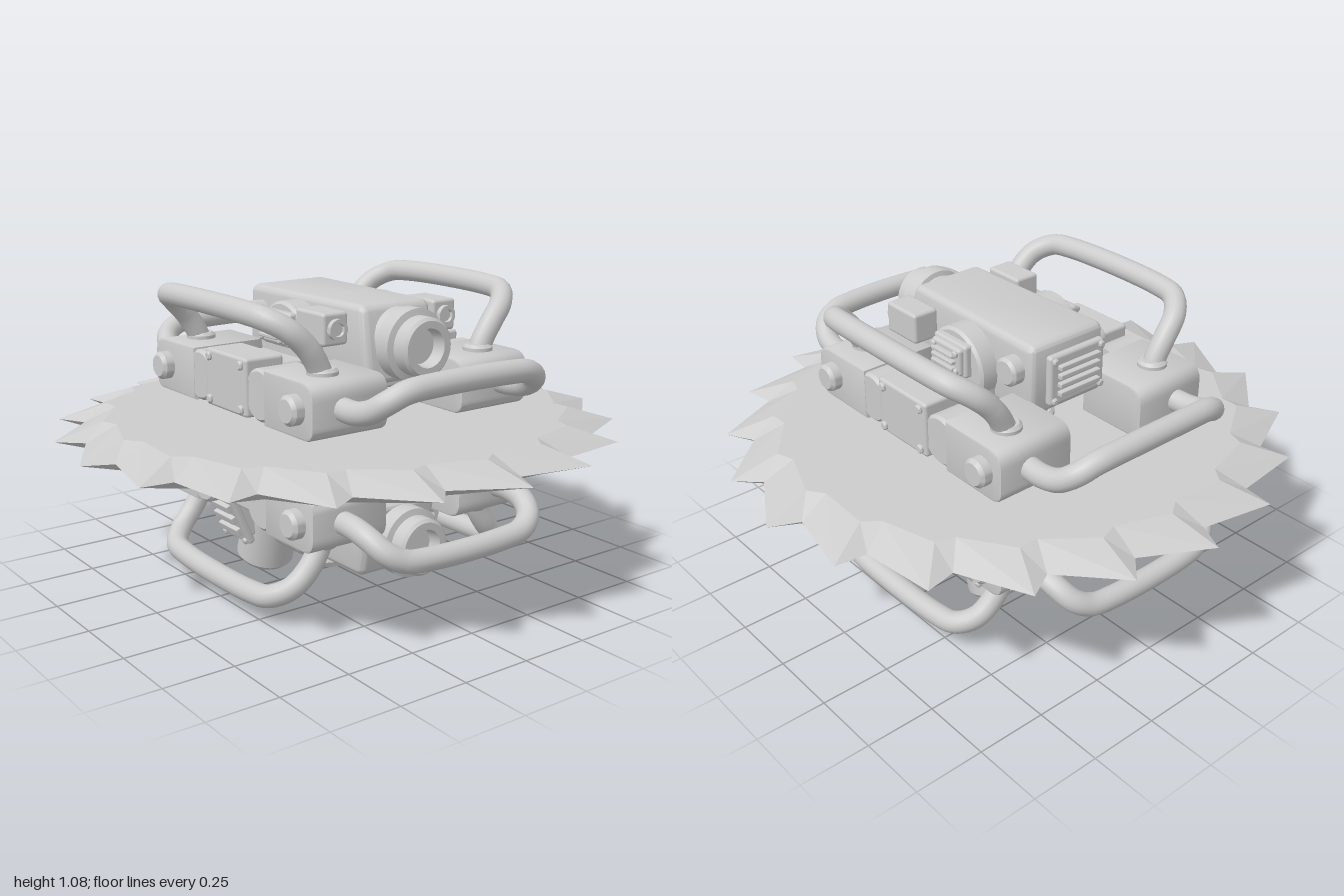
import * as THREE from 'three';
import { toCreasedNormals } from 'three/addons/utils/BufferGeometryUtils.js';
import { RoundedBoxGeometry } from 'three/addons/geometries/RoundedBoxGeometry.js';

const material = new THREE.MeshStandardMaterial({ color: 0xcccccc });
const X = [1, 0, 0], Y = [0, 1, 0];
const MID = 0.57; // height of the blade plane

function add(parent, name, geometry, pos = [0, 0, 0]) {
  const mesh = new THREE.Mesh(geometry, material);
  mesh.name = name;
  mesh.position.set(...pos);
  parent.add(mesh);
  return mesh;
}

// Rounded box given by its centre and size
const box = (parent, name, pos, size, r = 0.012) =>
  add(parent, name, new RoundedBoxGeometry(...size, 2, r), pos);

// Turned part: [radius, height] profile, its height running along dir from pos
function turned(parent, name, profile, pos, dir = Y) {
  const geo = new THREE.LatheGeometry(profile.map(p => new THREE.Vector2(...p)), 32);
  const mesh = add(parent, name, toCreasedNormals(geo, 0.6), pos);
  mesh.quaternion.setFromUnitVectors(new THREE.Vector3(0, 1, 0), new THREE.Vector3(...dir).normalize());
  return mesh;
}

// Solid disc with a small edge bevel
const disc = (parent, name, r, h, pos, dir, b = 0.01) =>
  turned(parent, name, [[0, 0], [r, 0], [r, h - b], [r - b, h], [0, h]], pos, dir);

function tube(parent, name, points) {
  const curve = new THREE.CatmullRomCurve3(points.map(p => new THREE.Vector3(...p)), false, 'centripetal');
  return add(parent, name, new THREE.TubeGeometry(curve, 80, 0.039, 16));
}

// Twenty swept teeth with knife edges, bevelled onto two flat faces
function bladeGeometry() {
  const teeth = 20, n = teeth * 2, h = 0.052, pos = [], index = [];
  const ring = (tip, gullet, y) => {
    for (let i = 0; i < n; i++) {
      const [r, offset] = i % 2 ? gullet : tip;
      const a = THREE.MathUtils.degToRad(Math.floor(i / 2) * 18 + offset);
      pos.push(r * Math.cos(a), y, r * Math.sin(a));
    }
  };
  ring([0.83, 2], [0.79, 16], h);
  ring([1, 0], [0.9, 15], 0);
  ring([0.83, 2], [0.79, 16], -h);
  pos.push(0, h, 0, 0, -h, 0);
  for (let i = 0; i < n; i++) {
    const j = (i + 1) % n;
    index.push(3 * n, j, i, 3 * n + 1, 2 * n + i, 2 * n + j);
    for (const k of [0, n]) index.push(k + i, k + j, k + n + i, k + j, k + n + j, k + n + i);
  }
  const geo = new THREE.BufferGeometry();
  geo.setAttribute('position', new THREE.Float32BufferAttribute(pos, 3));
  geo.setIndex(index);
  const flat = geo.toNonIndexed();
  flat.computeVertexNormals();
  return flat;
}

// Corner block, rounded at its outer upper edge, for the +x side
function cornerBlockGeometry(sx) {
  const s = new THREE.Shape();
  s.moveTo(0.23, 0.67);
  s.lineTo(0.45, 0.67);
  s.quadraticCurveTo(0.49, 0.67, 0.49, 0.71);
  s.lineTo(0.49, 0.79);
  s.quadraticCurveTo(0.49, 0.84, 0.44, 0.84);
  s.lineTo(0.23, 0.84);
  s.closePath();
  const geo = new THREE.ExtrudeGeometry(s, { depth: 0.28, bevelSize: 0.008, bevelThickness: 0.008, bevelSegments: 2, curveSegments: 8 });
  geo.translate(0, 0, -0.14);
  if (sx < 0) geo.rotateY(Math.PI);
  return toCreasedNormals(geo, 0.6);
}

// Vent: framed plate with horizontal bars, facing +z in its own frame
function vent(parent, name, pos, w, h, bars, turn = [0, 0, 0]) {
  const g = new THREE.Group();
  g.name = name;
  g.position.set(...pos);
  g.rotation.set(...turn);
  parent.add(g);
  box(g, 'ventPlate', [0, 0, 0], [w, h, 0.03]);
  for (let i = 0; i < bars; i++)
    box(g, 'ventBar', [0, h * ((i + 0.5) / bars - 0.5) * 0.7, 0.02], [w * 0.74, h * 0.4 / bars, 0.026], 0.004);
  for (const x of [-1, 1]) for (const y of [-1, 1])
    disc(g, 'ventBolt', 0.012, 0.012, [x * (w / 2 - 0.018), y * (h / 2 - 0.018), 0.014], [0, 0, 1], 0.004);
}

// Frame, handles, body and nozzle shared by both halves
function buildHalf(name) {
  const g = new THREE.Group();
  g.name = name;
  disc(g, 'hubFlange', 0.17, 0.035, [0, 0.615, 0]);
  disc(g, 'hub', 0.15, 0.22, [0, 0.64, 0]);
  for (const sz of [-1, 1]) {
    for (const sx of [-1, 1]) {
      add(g, 'cornerBlock', cornerBlockGeometry(sx), [0, 0, sz * 0.305]);
      disc(g, 'cornerBolt', 0.05, 0.06, [sx * 0.41, 0.757, sz * 0.435], [0, 0, sz], 0.012);
      disc(g, 'hinge', 0.09, 0.16, [sx * 0.19, 0.757, sz * 0.29], [0, 0, sz]);
      disc(g, 'handleSocket', 0.052, 0.03, [sx * 0.38, 0.84, sz * 0.33]);
    }
    box(g, 'frameRail', [0, 0.75, sz * 0.36], [0.5, 0.14, 0.12]);
    disc(g, 'bodyBoss', 0.05, 0.05, [-0.23, 0.94, sz * 0.16], [0, 0, sz]);
    // Handle rising outward over the front or back
    const side = [[0.38, 0.8, 0.32], [0.38, 0.87, 0.345], [0.38, 0.94, 0.39], [0.365, 0.995, 0.445],
      [0.31, 1.03, 0.495], [0.22, 1.04, 0.51]];
    tube(g, 'upperHandle', [...side, ...side.map(([x, y, z]) => [-x, y, z]).reverse()]
      .map(([x, y, z]) => [x, y, z * sz]));
  }
  // Handles bowing out from the left and right ends
  for (const sx of [-1, 1]) {
    const end = [[0.46, 0.757, 0.33], [0.56, 0.757, 0.335], [0.63, 0.775, 0.33], [0.68, 0.81, 0.305],
      [0.705, 0.84, 0.25], [0.715, 0.85, 0.15]];
    tube(g, 'sideHandle', [...end, ...end.map(([x, y, z]) => [x, y, -z]).reverse()]
      .map(([x, y, z]) => [x * sx, y, z]));
  }
  box(g, 'crossBeam', [0, 0.765, 0], [0.26, 0.15, 0.64]);

  // Body, narrowed toward the top and sloped at the nozzle end
  const geo = new RoundedBoxGeometry(0.7, 0.26, 0.34, 4, 0.03);
  const p = geo.attributes.position;
  for (let i = 0; i < p.count; i++) {
    const up = (p.getY(i) + 0.13) / 0.26, x = p.getX(i);
    const nose = Math.max(0, x) / 0.35;
    p.setXYZ(i, x - up * nose * 0.05, p.getY(i), p.getZ(i) * (1 - 0.06 * up - 0.1 * nose));
  }
  geo.computeVertexNormals();
  add(g, 'body', toCreasedNormals(geo, 0.6), [0.04, 0.91, 0]);
  turned(g, 'nozzle', [[0, 0], [0.115, 0], [0.115, 0.12], [0.105, 0.14], [0.105, 0.15], [0.122, 0.155],
    [0.122, 0.215], [0.1, 0.22], [0.1, 0.27], [0.09, 0.28], [0.065, 0.28], [0.06, 0.23], [0, 0.23]],
    [0.23, 0.912, 0], X);
  vent(g, 'endVent', [-0.34, 0.92, 0], 0.24, 0.18, 4, [0, -Math.PI / 2, 0]);
  return g;
}

function upperDetails(g) {
  for (const s of [-1, 1]) {
    const turn = [0, s < 0 ? Math.PI : 0, 0];
    // Bolted plate in the middle of the front and back rails
    box(g, 'middlePlate', [0, 0.768, s * 0.385], [0.26, 0.2, 0.15]);
    for (const x of [-1, 1]) for (const y of [-1, 1])
      disc(g, 'plateBolt', 0.016, 0.014, [x * 0.1, 0.768 + y * 0.075, s * 0.457], [0, 0, s], 0.005);
    disc(g, 'sideDisc', 0.14, 0.08, [0, 0.88, s * 0.15], [0, 0, s]);
    box(g, 'ventMount', [0, 0.93, s * 0.235], [0.17, 0.12, 0.04]);
    vent(g, 'sideVent', [0, 0.93, s * 0.258], 0.15, 0.1, 3, turn);
    // Lamp looking the same way as the nozzle
    box(g, 'lampBox', [0.235, 0.97, s * 0.23], [0.16, 0.11, 0.1]);
    turned(g, 'lampLens', [[0, 0], [0.035, 0], [0.035, 0.02], [0.022, 0.02], [0.02, 0.01], [0, 0.01]],
      [0.313, 0.97, s * 0.23], X);
  }
}

function lowerDetails(g) {
  const pod = r => [[0, 0], [r, 0], [r, 0.25], [r - 0.015, 0.268], [r * 0.72, 0.268], [r * 0.68, 0.25],
    [r * 0.58, 0.25], [r * 0.5, 0.264], [0, 0.268]];
  turned(g, 'middlePod', pod(0.1), [-0.03, 0.85, 0], [0.27, 0.96, 0]);
  for (const s of [-1, 1]) {
    turned(g, 'sidePod', pod(0.105), [-0.1, 0.85, s * 0.2], [-0.3, 0.95, 0]);
    box(g, 'podBracket', [-0.05, 0.86, s * 0.21], [0.26, 0.12, 0.16]);
    // Vent leaning outward toward the frame
    const v = new THREE.Group();
    v.name = 'leaningVent';
    v.position.set(-0.165, 0.885, s * 0.36);
    v.rotation.set(-s * 0.4, s < 0 ? Math.PI : 0, 0, 'XYZ');
    g.add(v);
    vent(v, 'vent', [0, 0.02, 0], 0.17, 0.22, 3);
    box(v, 'ventBack', [0, 0.02, -0.05], [0.15, 0.18, 0.09]);
    // Stepped canister beside the body
    turned(g, 'canister', [[0, 0], [0.045, 0], [0.05, 0.01], [0.05, 0.05], [0.065, 0.06], [0.065, 0.2],
      [0.05, 0.22], [0.05, 0.27], [0.04, 0.28], [0.024, 0.28], [0.022, 0.265], [0, 0.265]],
      [-0.03, 0.92, s * 0.24], X);
    box(g, 'canisterBracket', [0.1, 0.89, s * 0.2], [0.1, 0.13, 0.1]);
  }
}

export function createModel() {
  const model = new THREE.Group();
  model.name = 'doubleSidedSaw';
  add(model, 'blade', bladeGeometry(), [0, MID, 0]);
  const upper = buildHalf('upperHalf');
  upperDetails(upper);
  // The lower half is built upright and turned over under the blade
  const lower = buildHalf('lowerHalf');
  lowerDetails(lower);
  lower.rotation.x = Math.PI;
  lower.position.y = 2 * MID;
  model.add(upper, lower);
  return model;
}
